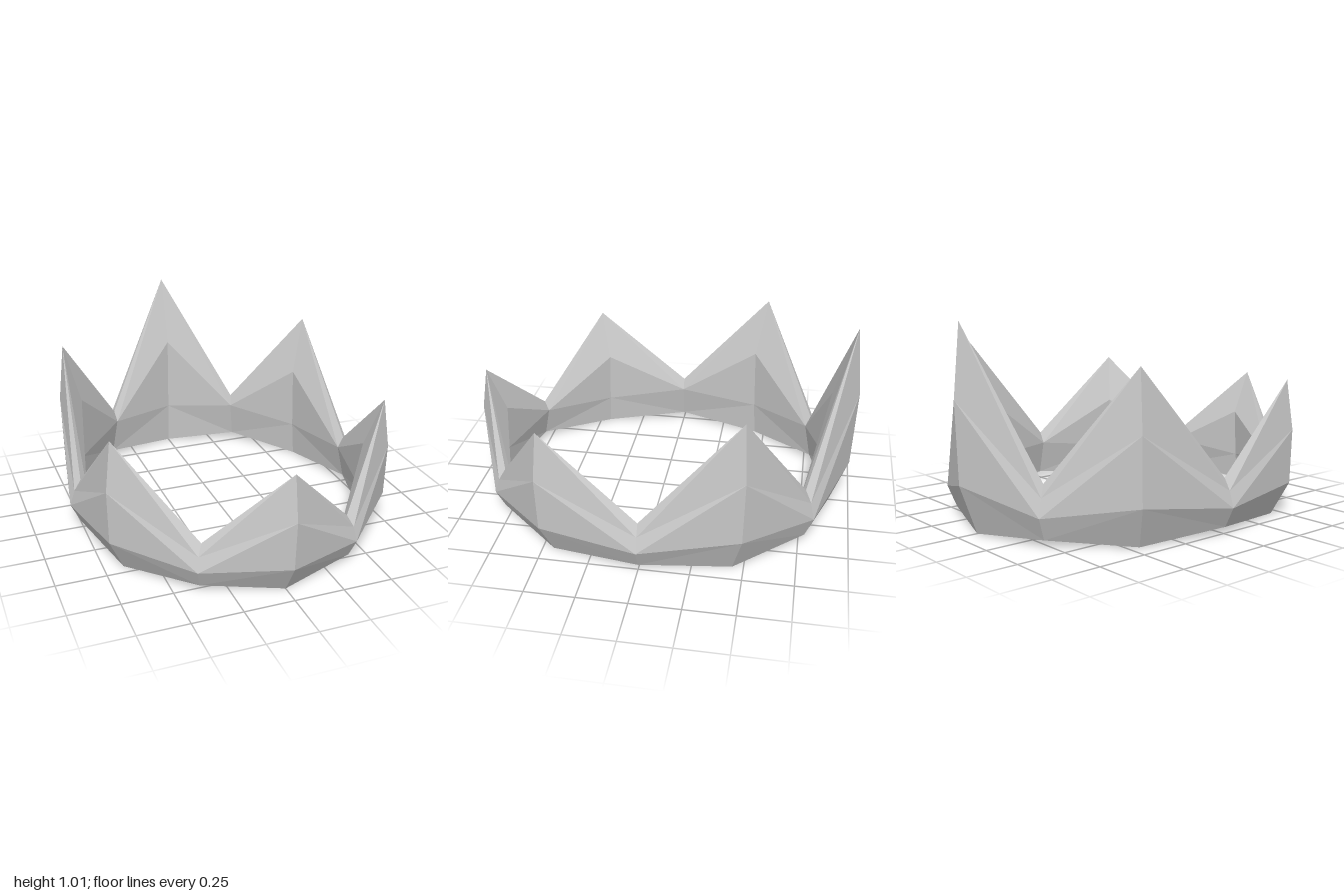
import * as THREE from 'three';

const V = (x, y, z) => new THREE.Vector3(x, y, z);

// Peak column: tip, outer shoulder, outer band, base, inner shoulder, inner band
const peak = (dx, dz, tip, mid, band, [t, m, b, f, im, ib]) => {
  const at = (r, y) => V(dx * r[0], y, dz * r[1]);
  return { isPeak: true, top: at(t, tip), mid: at(m, mid), band: at(b, band), base: at(f, 0),
    inMid: at(im, mid), inBand: at(ib, band * 0.95) };
};
// Valley column: notch, outer shoulder, outer band, base, inner shoulder
const valley = (dx, dz, top, mid, band, [t, m, b, f, i]) => {
  const at = (r, y) => V(dx * r[0], y, dz * r[1]);
  return { isPeak: false, top: at(t, top), mid: at(m, mid), band: at(b, band), base: at(f, 0.035),
    inner: at(i, mid) };
};

// Radial [x, z] positions shared by columns of the same kind
const endPeak = [[0, 0.965], [0, 1], [0, 0.985], [0, 0.895], [0, 0.865], [0, 0.878]];
const sidePeak = [[0.705, 0.485], [0.735, 0.5], [0.73, 0.493], [0.655, 0.445], [0.63, 0.43], [0.64, 0.437]];
const endValley = [[0.37, 0.77], [0.395, 0.8], [0.405, 0.82], [0.385, 0.78], [0.36, 0.745]];
const sideValley = [[0.75, 0], [0.785, 0], [0.81, 0], [0.76, 0], [0.72, 0]];

// Half of the ring, front to back on the +x side
const half = [
  peak(0, 1, 0.625, 0.4, 0.152, endPeak),
  valley(1, 1, 0.25, 0.198, 0.126, endValley),
  peak(1, 1, 0.69, 0.44, 0.168, sidePeak),
  valley(1, 0, 0.272, 0.215, 0.136, sideValley),
  peak(1, -1, 0.83, 0.53, 0.2, sidePeak),
  valley(1, -1, 0.292, 0.235, 0.145, endValley),
  peak(0, -1, 1.01, 0.65, 0.245, endPeak),
];

// Facets between a peak and a valley, wound for the peak on the left
const outerFacets = (p, v) => [
  [p.top, p.mid, v.mid], [p.top, v.mid, v.top],
  [p.mid, p.band, v.band], [p.mid, v.band, v.mid],
  [p.band, p.base, v.base], [p.band, v.base, v.band],
];
const innerFacets = (p, v) => [
  [p.top, v.inner, p.inMid], [p.top, v.top, v.inner],
  [p.inMid, v.inner, p.inBand], [p.inBand, v.inner, v.base],
  [p.inBand, v.base, p.base],
];

function wall(name, facets, material) {
  const pos = [];
  for (const side of [1, -1]) {
    for (let i = 0; i < half.length - 1; i++) {
      const a = half[i], b = half[i + 1];
      const [p, v] = a.isPeak ? [a, b] : [b, a];
      const flip = a.isPeak !== (side === 1);
      for (const tri of facets(p, v)) {
        const order = flip ? [tri[0], tri[2], tri[1]] : tri;
        for (const c of order) pos.push(c.x * side, c.y, c.z);
      }
    }
  }
  const geo = new THREE.BufferGeometry();
  geo.setAttribute('position', new THREE.Float32BufferAttribute(pos, 3));
  geo.computeVertexNormals(); // unshared corners give flat facets
  const mesh = new THREE.Mesh(geo, material);
  mesh.name = name;
  return mesh;
}

export function createModel() {
  const silver = new THREE.MeshStandardMaterial({ color: 0xc8c8c8 });
  silver.name = 'silver';
  const crown = new THREE.Group();
  crown.name = 'crown';
  crown.add(wall('outerWall', outerFacets, silver), wall('innerWall', innerFacets, silver));
  return crown;
}
